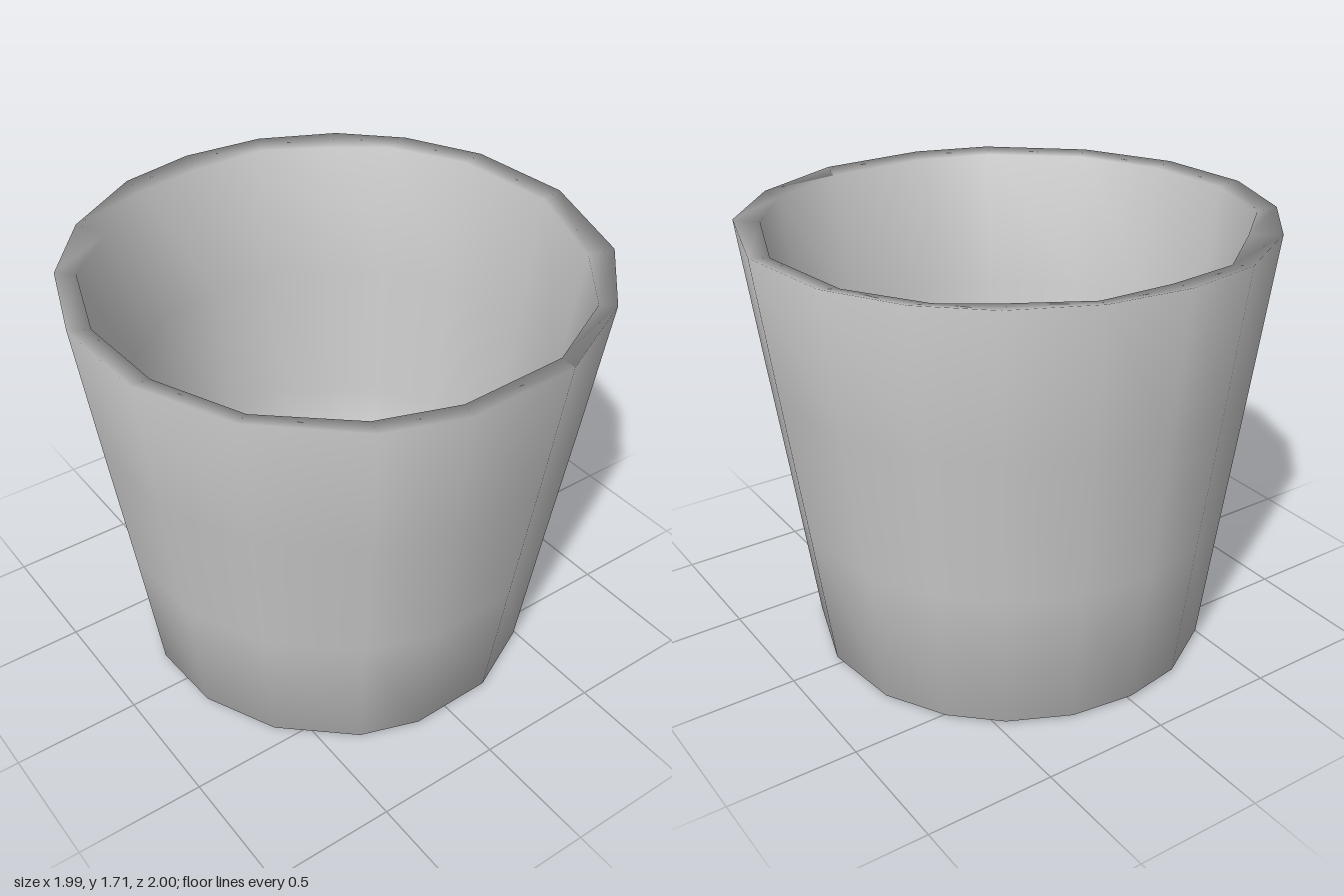
import * as THREE from 'three';

// Hand-shaped rim outlines as [x, z], one entry per side of the cup
const OUTER = [
  [0.08, -1], [0.52, -0.86], [0.8, -0.6], [0.98, -0.23], [0.99, 0.2], [0.89, 0.49],
  [0.6, 0.81], [0.24, 0.98], [-0.15, 1], [-0.5, 0.87], [-0.76, 0.65], [-0.95, 0.33],
  [-1, 0.03], [-0.96, -0.29], [-0.82, -0.58], [-0.62, -0.79], [-0.33, -0.95],
];
const INNER = [
  [0.08, -0.92], [0.48, -0.77], [0.74, -0.57], [0.9, -0.25], [0.91, 0.17], [0.81, 0.46],
  [0.56, 0.75], [0.23, 0.9], [-0.13, 0.92], [-0.47, 0.8], [-0.66, 0.58], [-0.87, 0.31],
  [-0.9, 0.03], [-0.89, -0.26], [-0.75, -0.5], [-0.61, -0.7], [-0.33, -0.87],
];
const N = OUTER.length;

// Ring at height t (0 base, 1 rim): tapers, drifts to the base centre, tilts at the rim
function ring(outline, t, y, baseScale, shrink = 1) {
  const s = (baseScale + (1 - baseScale) * t) * shrink;
  return outline.map(([x, z]) => [
    x * s - 0.035 * (1 - t),
    y - t * (0.023 * x + 0.01 * z),
    z * s - 0.015 * (1 - t),
  ]);
}

// Join closed rings into one smooth surface
function loft(rings) {
  const index = [];
  for (let i = 0; i < rings.length - 1; i++) {
    for (let j = 0; j < N; j++) {
      const k = (j + 1) % N;
      const a = i * N + j, b = i * N + k, c = a + N, d = b + N;
      index.push(a, c, d, a, d, b);
    }
  }
  const geometry = new THREE.BufferGeometry();
  geometry.setAttribute('position', new THREE.Float32BufferAttribute(rings.flat(2), 3));
  geometry.setIndex(index);
  geometry.computeVertexNormals();
  return geometry;
}

export function createModel() {
  const group = new THREE.Group();
  group.name = 'cup';
  const material = new THREE.MeshStandardMaterial({ color: 0xcccccc });

  const add = (name, rings) => {
    const mesh = new THREE.Mesh(loft(rings), material);
    mesh.name = name;
    group.add(mesh);
  };

  // Underside, tapered outer wall, rolled rim, inner wall and floor in one skin
  add('cupBody', [
    ring(OUTER, 0, 0, 0.78, 0.001),
    ring(OUTER, 0, 0, 0.78, 0.75),
    ring(OUTER, 0, 0.012, 0.78),
    ring(OUTER, 0.33, 0.57, 0.78),
    ring(OUTER, 0.67, 1.13, 0.78),
    ring(OUTER, 1, 1.69, 0.78),
    ring(INNER, 1, 1.675, 0.78),
    ring(INNER, 0.67, 1.13, 0.78),
    ring(INNER, 0.33, 0.57, 0.78),
    ring(INNER, 0.04, 0.08, 0.78),
    ring(INNER, 0.04, 0.07, 0.78, 0.75),
    ring(INNER, 0.04, 0.07, 0.78, 0.001),
  ]);

  return group;
}
